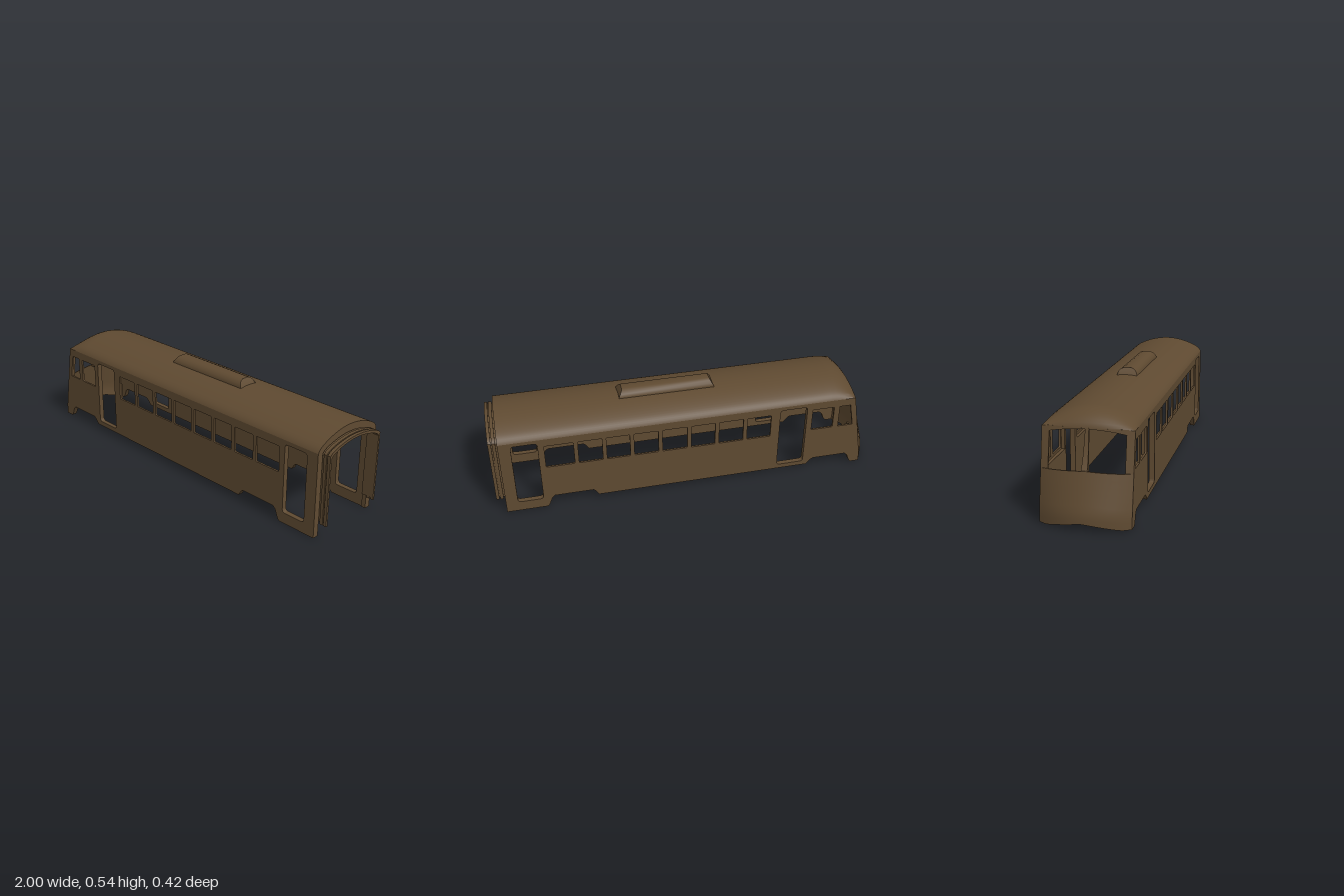
import * as THREE from 'three';
import { toCreasedNormals } from 'three/addons/utils/BufferGeometryUtils.js';

const W = 0.208, SKIN = 0.01, LINER = 0.016, EAVE = 0.425, REAR = 0.955;
const material = new THREE.MeshStandardMaterial({ color: 0x5f4a31, side: THREE.DoubleSide });

function add(group, name, geometry) {
  const mesh = new THREE.Mesh(toCreasedNormals(geometry, 0.5), material);
  mesh.name = name;
  group.add(mesh);
}

// Closed curved slab: f(i, j, t) gives outer (t = 0) and inner (t = 1) points
function slab(nu, nv, f) {
  const pos = [], index = [];
  for (let t = 0; t < 2; t++)
    for (let j = 0; j <= nv; j++)
      for (let i = 0; i <= nu; i++) pos.push(...f(i, j, t));
  const at = (i, j, t) => (t * (nv + 1) + j) * (nu + 1) + i;
  const quad = (a, b, c, d) => index.push(a, b, c, a, c, d);
  for (let j = 0; j < nv; j++)
    for (let i = 0; i < nu; i++) {
      quad(at(i, j, 0), at(i + 1, j, 0), at(i + 1, j + 1, 0), at(i, j + 1, 0));
      quad(at(i, j, 1), at(i, j + 1, 1), at(i + 1, j + 1, 1), at(i + 1, j, 1));
    }
  for (let i = 0; i < nu; i++) {
    quad(at(i + 1, 0, 0), at(i, 0, 0), at(i, 0, 1), at(i + 1, 0, 1));
    quad(at(i, nv, 0), at(i + 1, nv, 0), at(i + 1, nv, 1), at(i, nv, 1));
  }
  for (let j = 0; j < nv; j++) {
    quad(at(0, j, 0), at(0, j + 1, 0), at(0, j + 1, 1), at(0, j, 1));
    quad(at(nu, j + 1, 0), at(nu, j, 0), at(nu, j, 1), at(nu, j + 1, 1));
  }
  const g = new THREE.BufferGeometry();
  g.setAttribute('position', new THREE.Float32BufferAttribute(pos, 3));
  g.setIndex(index);
  return g;
}

const polygon = (pts) => new THREE.Shape(pts.map(([x, y]) => new THREE.Vector2(x, y)));

function roundedHole(x0, x1, y0, y1, r) {
  const p = new THREE.Path();
  p.moveTo(x0 + r, y0);
  p.lineTo(x1 - r, y0); p.quadraticCurveTo(x1, y0, x1, y0 + r);
  p.lineTo(x1, y1 - r); p.quadraticCurveTo(x1, y1, x1 - r, y1);
  p.lineTo(x0 + r, y1); p.quadraticCurveTo(x0, y1, x0, y1 - r);
  p.lineTo(x0, y0 + r); p.quadraticCurveTo(x0, y0, x0 + r, y0);
  return p;
}

// Extrude a z/y section along the length of the body
function alongBody(shape, x0, x1) {
  const g = new THREE.ExtrudeGeometry(shape, { depth: x1 - x0, bevelEnabled: false });
  return g.rotateY(Math.PI / 2).translate(x0, 0, 0);
}

// Shallow arch with tight shoulders; s runs from -1 to 1 across the width
const arch = (s) => 0.8 * (1 - s * s) + 0.2 * (1 - s ** 20);

function archPoints(half, eave, top, bottom) {
  const pts = [[-half, bottom]];
  for (let i = 0; i <= 24; i++) {
    const s = Math.sin((i / 24 - 0.5) * Math.PI);
    pts.push([half * s, eave + (top - eave) * arch(s)]);
  }
  pts.push([half, bottom]);
  return pts;
}

// Arched frame, open at the bottom
const archFrame = (outer, inner) => polygon([...outer, ...inner.reverse()]);

// Leaning, bowed front: x from z and y; the windscreen is set back a little
const lerp = THREE.MathUtils.mapLinear;
const sideX = (y) => lerp(Math.max(y, 0.05), 0.05, 0.43, -0.935, -0.87);
function frontX(z, y, screen) {
  const centre = screen ? lerp(y, 0.25, 0.43, -0.925, -0.887)
    : y < 0.07 ? -1 : lerp(y, 0.07, 0.245, -1, -0.949);
  const s = z / W;
  return sideX(y) + (centre - sideX(y)) * (1 - s * s);
}

// Piece of the front between two heights and two widths given as functions;
// the apron thins towards its sill
function frontPiece(nu, nv, z0, z1, y0, y1, screen) {
  return slab(nu, nv, (i, j, t) => {
    const u = i / nu, v = j / nv;
    const zMid = THREE.MathUtils.lerp(z0(0), z1(0), u);
    const y = THREE.MathUtils.lerp(y0(zMid), y1(zMid), v);
    const z = THREE.MathUtils.lerp(z0(v), z1(v), u);
    return [frontX(z, y, screen) + t * (screen ? 0.01 : 0.022 - 0.016 * v), y, z];
  });
}

// One layer of a side wall, given its window openings
function wallLayer(windows, depth) {
  const shape = polygon([
    [-0.935, 0.003], [-0.89, 0.003], [-0.88, 0.015], [-0.865, 0.052], [-0.85, 0.065],
    [-0.67, 0.065], [-0.655, 0.055], [-0.635, 0.03], [0.485, 0.03], [0.5, 0.055], [0.512, 0.065],
    [0.708, 0.065], [0.722, 0.052], [0.738, 0.012], [0.747, 0], [REAR, 0],
    [REAR, EAVE], [sideX(EAVE), EAVE], [-0.935, 0.05],
  ]);
  shape.holes.push(...windows);
  // Doorways
  shape.holes.push(roundedHole(-0.613, -0.468, 0.055, 0.405, 0.018));
  shape.holes.push(roundedHole(0.766, 0.895, 0.055, 0.405, 0.018));
  return new THREE.ExtrudeGeometry(shape, { depth, bevelEnabled: false });
}

function skinWindows() {
  const edges = [-0.42, -0.273, -0.125, 0.02, 0.168, 0.312, 0.451, 0.592, 0.756];
  const row = edges.slice(0, -1).map((x, i) => roundedHole(x, edges[i + 1] - 0.021, 0.253, 0.383, 0.006));
  const cab = polygon([[-0.872, 0.257], [-0.79, 0.257], [-0.79, 0.383], [-0.848, 0.383]]);
  return [...row, roundedHole(-0.76, -0.643, 0.257, 0.383, 0.006), cab];
}

// The inner lining is cut back around the windows
function linerWindows() {
  const cab = polygon([[-0.88, 0.245], [-0.633, 0.245], [-0.633, 0.395], [-0.855, 0.395]]);
  return [roundedHole(-0.432, 0.747, 0.241, 0.395, 0.006), cab];
}

export function createModel() {
  const model = new THREE.Group();
  model.name = 'tramBody';

  // Side walls: thin outer skin and inner lining
  for (const [side, skinZ, linerZ] of [
    ['left', W - SKIN, W - SKIN - LINER], ['right', -W, -W + SKIN]]) {
    add(model, side + 'Wall', wallLayer(skinWindows(), SKIN).translate(0, 0, skinZ));
    add(model, side + 'Lining', wallLayer(linerWindows(), LINER).translate(0, 0, linerZ));
  }

  // Arched roof, rounded down to the windscreen
  const rows = 9;
  add(model, 'roof', slab(32, rows, (i, j, t) => {
    const s = Math.sin((i / 32 - 0.5) * Math.PI), z = W * s;
    const b = Math.min(j / (rows - 1), 1) * Math.PI / 2;
    const x = j === rows ? REAR : frontX(z, EAVE, true) + 0.13 * (1 - Math.cos(b)) + t * 0.012;
    const k = Math.sin(b) ** 1.2;
    return [x, EAVE + 0.077 * arch(s) * k - t * 0.035 * (1 - s * s) * k, z * (1 - 0.12 * t)];
  }));

  // Front: apron, corner posts, centre pillar and header
  const front = new THREE.Group();
  front.name = 'front';
  model.add(front);
  const k = (v) => () => v;
  const sill = (z) => 0.254 - 0.06 * Math.abs(z);
  const lintel = (z) => 0.423 - 0.018 * (z / 0.17) ** 2;
  const hem = (z) => Math.max(0.003, 0.033 * (1 - (Math.abs(z) / 0.18) ** 1.3));
  add(front, 'apron', frontPiece(24, 8, k(-W), k(W), hem, sill, false));
  add(front, 'rightPost', frontPiece(4, 6, k(-W), k(-0.172), k(0.235), k(EAVE), true));
  add(front, 'leftPost', frontPiece(4, 6, k(0.172), k(W), k(0.235), k(EAVE), true));
  add(front, 'header', frontPiece(16, 1, k(-0.18), k(0.18), lintel, k(0.428), true));
  // Centre pillar, its foot reaching forward to the sill
  add(front, 'centrePillar', slab(2, 4, (i, j, t) => {
    const v = j / 4, y = lerp(v, 0, 1, 0.246, 0.428);
    const foot = 0.02 * (1 - v) ** 4;
    return [frontX(0, y, true) + (t ? 0.01 : -foot), y, (i - 1) * (0.014 - 0.006 * v)];
  }));
  // Tapered coupler housing behind the apron
  add(front, 'couplerHousing', alongBody(polygon(
    [[-0.058, 0.032], [0.058, 0.032], [0.053, 0.067], [-0.053, 0.067]]), -0.985, -0.966));

  // Rear end frame and two-ribbed gangway
  add(model, 'rearFrame', alongBody(archFrame(
    archPoints(W - 0.001, EAVE, 0.5, 0), archPoints(0.177, 0.415, 0.465, 0)), REAR - 0.022, REAR));
  const gangway = new THREE.Group();
  gangway.name = 'gangway';
  model.add(gangway);
  const rib = (name, half, top, bottom, x0, x1) => add(gangway, name, alongBody(archFrame(
    archPoints(half, top - 0.047, top, bottom), archPoints(0.169, 0.405, 0.453, bottom)), x0, x1));
  rib('gangwayNeck', 0.173, 0.457, 0.075, 0.935, 0.997);
  rib('innerRib', 0.179, 0.465, 0.067, 0.963, 0.979);
  rib('outerRib', 0.179, 0.465, 0.067, 0.984, 1);

  // Roof pod with sloping ends
  const pod = alongBody(polygon([
    [-0.052, 0.485], [-0.052, 0.503], [-0.046, 0.517], [-0.034, 0.529], [-0.018, 0.535],
    [0.018, 0.535], [0.034, 0.529], [0.046, 0.517], [0.052, 0.503], [0.052, 0.485],
  ]), -0.16, 0.34);
  const p = pod.attributes.position;
  for (let i = 0; i < p.count; i++) {
    const inset = Math.max(0, p.getY(i) - 0.495) * 0.6;
    p.setX(i, p.getX(i) - Math.sign(p.getX(i) - 0.09) * inset);
  }
  add(model, 'roofPod', pod);

  return model;
}
